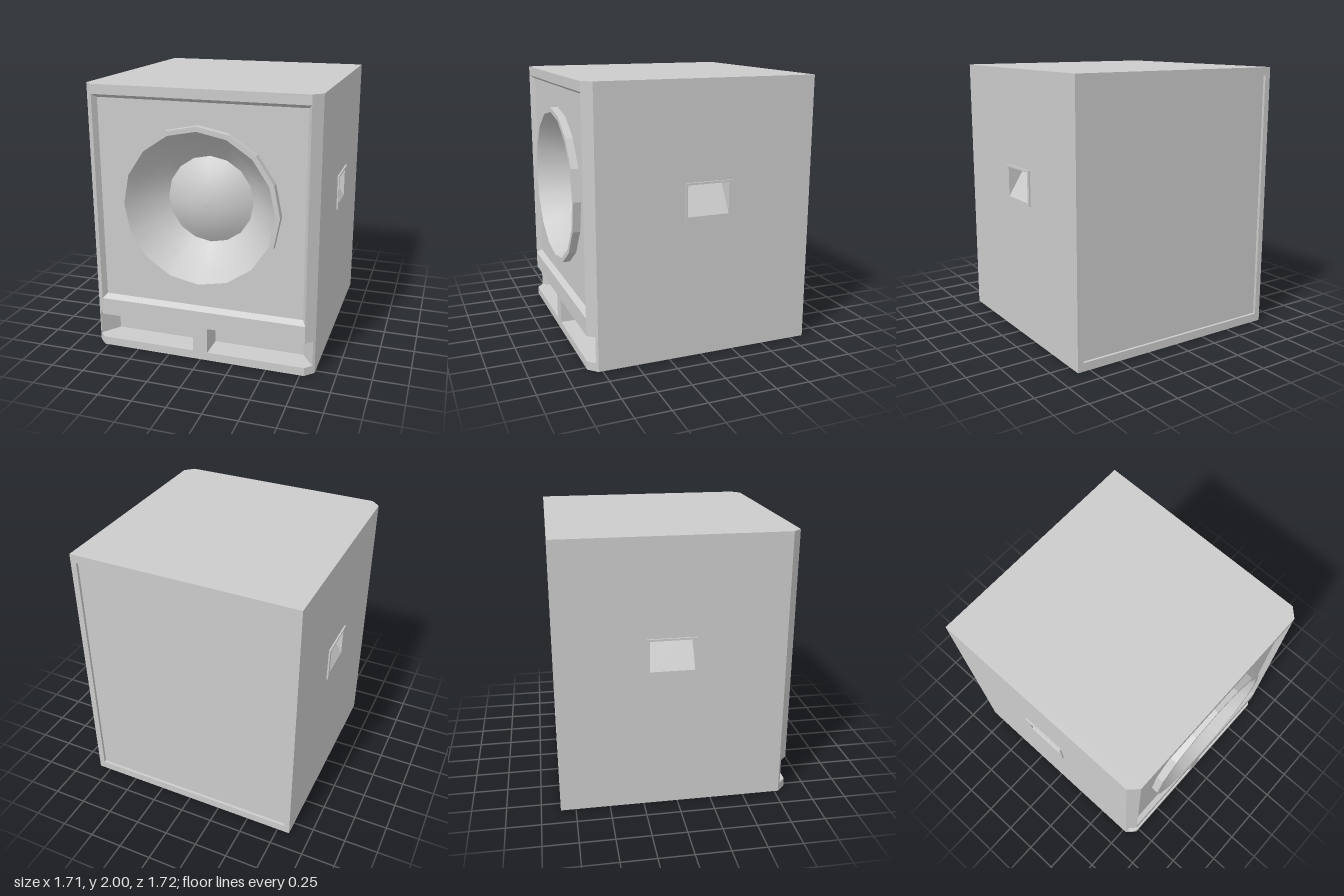
import * as THREE from 'three';

const GREY = new THREE.MeshStandardMaterial({ color: 0xcccccc });
const FACETED = new THREE.MeshStandardMaterial({ color: 0xcccccc, flatShading: true });
const THIN = new THREE.MeshStandardMaterial({ color: 0xcccccc, flatShading: true, side: THREE.DoubleSide });

const W = 0.845, BACK = -0.86, FRONT = 0.845, CH = 0.065; // cabinet half width, depth, corner chamfer
const MID = 0.5;                                          // where side boards meet the front frame
const FLOOR = 0.063, CEIL = 1.94;                         // inner faces of bottom and top boards
const BAFFLE = 0.805, CY = 1.16;                          // baffle face, speaker centre height

const toShape = pts => new THREE.Shape(pts.map(([a, b]) => new THREE.Vector2(a, b)));
const rect = (x0, y0, x1, y1) => [[x0, y0], [x1, y0], [x1, y1], [x0, y1]];
const extrude = (pts, depth, holes = []) => {
  const shape = toShape(pts);
  holes.forEach(h => shape.holes.push(toShape(h)));
  return new THREE.ExtrudeGeometry(shape, { depth, bevelEnabled: false });
};

// Footprint given as [x, z], raised from y0 to y1
const slab = (pts, y0, y1) =>
  extrude(pts.map(([x, z]) => [x, -z]), y1 - y0).rotateX(-Math.PI / 2).translate(0, y0, 0);
// Profile given as [z, y], run from x0 to x1
const board = (pts, x0, x1, holes = []) => {
  const flip = p => p.map(([z, y]) => [-z, y]);
  return extrude(flip(pts), x1 - x0, holes.map(flip)).rotateY(Math.PI / 2).translate(x0, 0, 0);
};
const mirrored = half => [...half, ...half.map(([x, z]) => [-x, z]).reverse()];

export function createModel() {
  const model = new THREE.Group();
  const add = (name, geometry, material = GREY, parent = model) => {
    const mesh = new THREE.Mesh(geometry, material);
    mesh.name = name;
    parent.add(mesh);
    return mesh;
  };

  // Top and bottom boards with chamfered front corners
  const outline = z0 => mirrored([[W, z0], [W, FRONT - CH], [W - CH, FRONT]]);
  add('bottomBoard', slab(outline(BACK), 0, FLOOR));
  add('topBoard', slab(outline(BACK), CEIL, 2));
  add('backPanel', new THREE.BoxGeometry(1.62, CEIL - FLOOR, 0.03).translate(0, (CEIL + FLOOR) / 2, -0.825));

  // Front rail with two flared ports cut into it and through the corners
  add('portRail', slab(mirrored([
    [W, MID], [W, FRONT - CH], [0.83, 0.795], [0.735, 0.66], [0.055, 0.66], [0.055, FRONT],
  ]), FLOOR, 0.255));
  add('lowerRail', slab(outline(MID), 0.255, 0.385));

  // Bevelled lips above and below the baffle
  add('lowerLip', board([[0.7, 0.385], [FRONT, 0.385], [BAFFLE, 0.415], [0.7, 0.415]], -0.78, 0.78));
  add('upperLip', board([[0.7, CEIL], [FRONT, CEIL], [FRONT, 1.93], [BAFFLE, 1.905], [0.7, 1.905]], -0.78, 0.78));

  // Baffle with a hole for the speaker
  const hole = Array.from({ length: 16 }, (_, i) => {
    const a = i * Math.PI / 8;
    return [0.572 * Math.sin(a), CY + 0.572 * Math.cos(a)];
  });
  add('baffle', extrude(rect(-0.765, 0.385, 0.765, CEIL), BAFFLE - MID, [hole]).translate(0, 0, MID));

  // Speaker ring, cone and domed cap
  const speaker = new THREE.Group();
  speaker.name = 'speaker';
  speaker.position.y = CY;
  model.add(speaker);
  const lathe = pts => new THREE.LatheGeometry(pts.map(p => new THREE.Vector2(...p)), 16).rotateX(Math.PI / 2);
  add('speakerRing', lathe([[0.59, 0.79], [0.59, 0.86], [0.555, 0.86]]), FACETED, speaker);
  add('speakerCone', lathe([[0.555, 0.86], [0.49, 0.76], [0.41, 0.66], [0.325, 0.58]]), GREY, speaker);
  const dome = Array.from({ length: 7 }, (_, i) => {
    const t = i / 6;
    return [0.325 * (1 - t), 0.58 + 0.11 * (1 - (1 - t) ** 2)];
  });
  add('dustCap', lathe(dome), GREY, speaker);

  // Each side: corner post, side board and sunken handle
  const opening = rect(-0.2, 1.045, 0.12, 1.275);
  for (const s of [1, -1]) {
    const side = s > 0 ? 'left' : 'right';
    const post = [[W, MID], [W, FRONT - CH], [W - CH, FRONT], [0.755, BAFFLE], [0.755, MID]];
    add(side + 'Post', slab(post.map(([x, z]) => [s * x, z]), 0.385, CEIL));

    const span = (a, b) => (s > 0 ? [a, b] : [-b, -a]);
    add(side + 'SideBoard', board(rect(BACK, FLOOR, MID, CEIL), ...span(0.8, W), [opening]));

    const handle = new THREE.Group();
    handle.name = side + 'Handle';
    model.add(handle);
    add('handleFrame', board(rect(-0.225, 1.03, 0.135, 1.29), ...span(W, 0.857), [opening]), GREY, handle);

    // Wedge-shaped cup: sloping floor, flat roof, triangular ends
    const A = z => [s * W, 1.045, z], B = z => [s * W, 1.275, z], C = z => [s * 0.7, 1.275, z];
    const p = -0.2, q = 0.12;
    const corners = [
      A(p), A(q), C(q), A(p), C(q), C(p),
      B(p), C(p), C(q), B(p), C(q), B(q),
      A(p), C(p), B(p), A(q), B(q), C(q),
    ].flat();
    const cup = new THREE.BufferGeometry();
    cup.setAttribute('position', new THREE.Float32BufferAttribute(corners, 3));
    cup.computeVertexNormals();
    add('handleCup', cup, THIN, handle);
  }
  return model;
}
